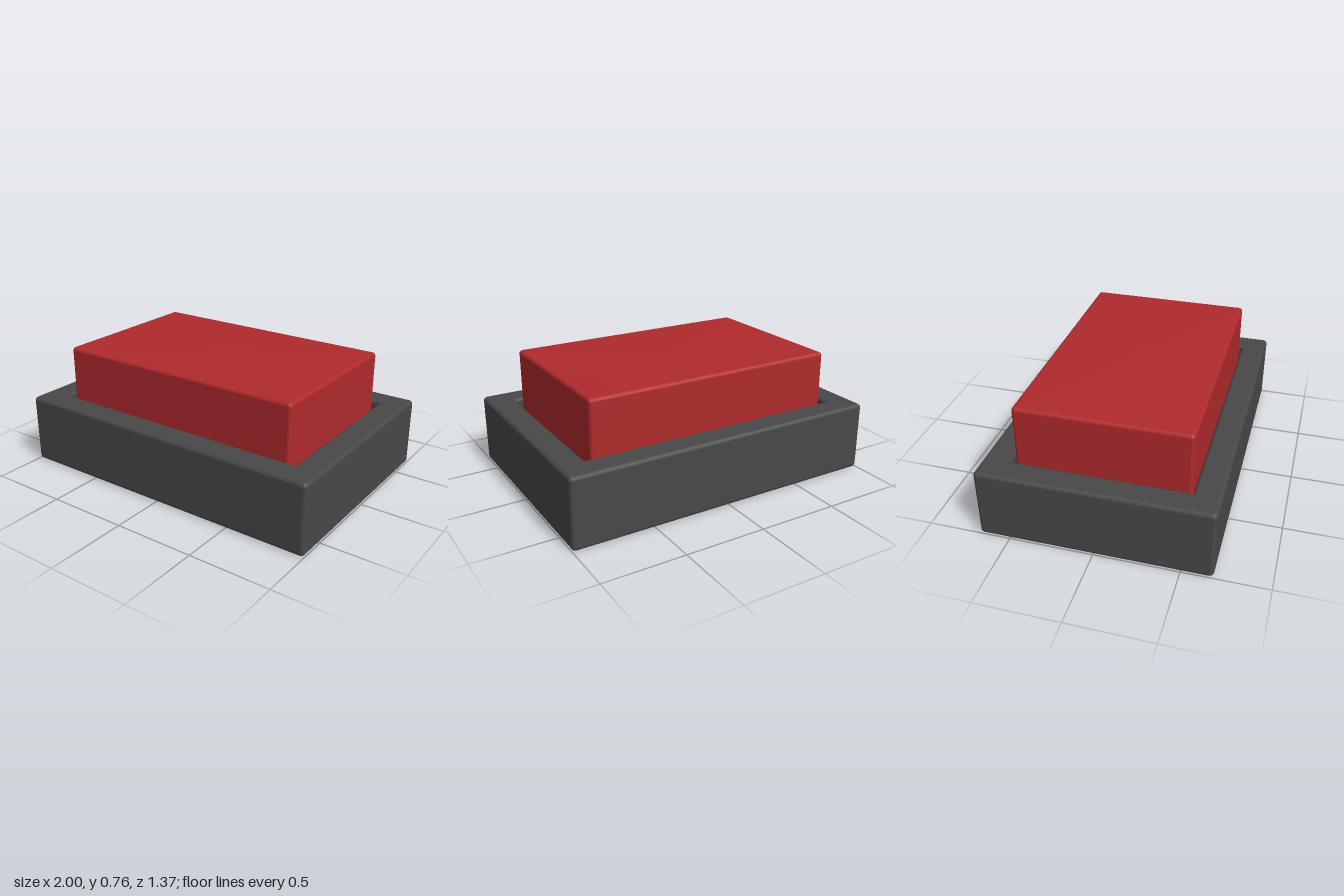
import * as THREE from 'three';

const CORNER_STEPS = 5;
const EDGE_STEPS = 4;

// Outline of a rounded rectangle with half sizes hx, hz and corner radius r
function roundedRing(hx, hz, r, y) {
  const points = [];
  [[1, 1], [-1, 1], [-1, -1], [1, -1]].forEach(([sx, sz], corner) => {
    for (let i = 0; i <= CORNER_STEPS; i++) {
      const a = (corner + i / CORNER_STEPS) * Math.PI / 2;
      points.push(sx * (hx - r) + r * Math.cos(a), y, sz * (hz - r) + r * Math.sin(a));
    }
  });
  return points;
}

// Joins rounded rings along a profile of [inset, height] steps, closed to the centre at both ends
function loft(hx, hz, radius, profile) {
  const first = profile[0], last = profile[profile.length - 1];
  const rings = [
    roundedRing(0, 0, 0, first[1]),
    ...profile.map(([d, y]) => roundedRing(hx - d, hz - d, Math.max(radius - d, 0.008), y)),
    roundedRing(0, 0, 0, last[1]),
  ];
  const n = rings[0].length / 3;
  const index = [];
  for (let i = 0; i < rings.length - 1; i++) {
    for (let j = 0; j < n; j++) {
      const a = i * n + j, b = i * n + (j + 1) % n;
      index.push(a, a + n, b, b, a + n, b + n);
    }
  }
  const geometry = new THREE.BufferGeometry();
  geometry.setAttribute('position', new THREE.Float32BufferAttribute(rings.flat(), 3));
  geometry.setIndex(index);
  geometry.computeVertexNormals();
  return geometry;
}

// Quarter round between two angles about a centre given as inset and height
function arc(cd, cy, r, from, to) {
  const points = [];
  for (let i = 0; i <= EDGE_STEPS; i++) {
    const a = from + (to - from) * i / EDGE_STEPS;
    points.push([cd - r * Math.cos(a), cy + r * Math.sin(a)]);
  }
  return points;
}

function addPart(group, name, geometry, color) {
  const mesh = new THREE.Mesh(geometry, new THREE.MeshStandardMaterial({ color }));
  mesh.name = name;
  group.add(mesh);
}

export function createModel() {
  const group = new THREE.Group();
  group.name = 'pushButton';
  const Q = Math.PI / 2;

  // Housing: rounded block with a rimmed recess
  const r = 0.025, top = 0.435, floor = 0.22, lip = 0.02;
  addPart(group, 'housing', loft(1, 0.683, r, [
    ...arc(r, r, r, -Q, 0),
    ...arc(r, top - r, r, 0, Q),
    ...arc(0.14, top - lip, lip, Q, 2 * Q),
    ...arc(0.18, floor + lip, lip, 0, -Q),
  ]), 0x484848);

  // Cap: rounded block seated in the recess
  const c = 0.022, height = 0.762;
  addPart(group, 'buttonCap', loft(0.797, 0.512, c, [
    ...arc(c, floor - 0.02 + c, c, -Q, 0),
    ...arc(c, height - c, c, 0, Q),
  ]), 0xb02a2c);

  return group;
}
